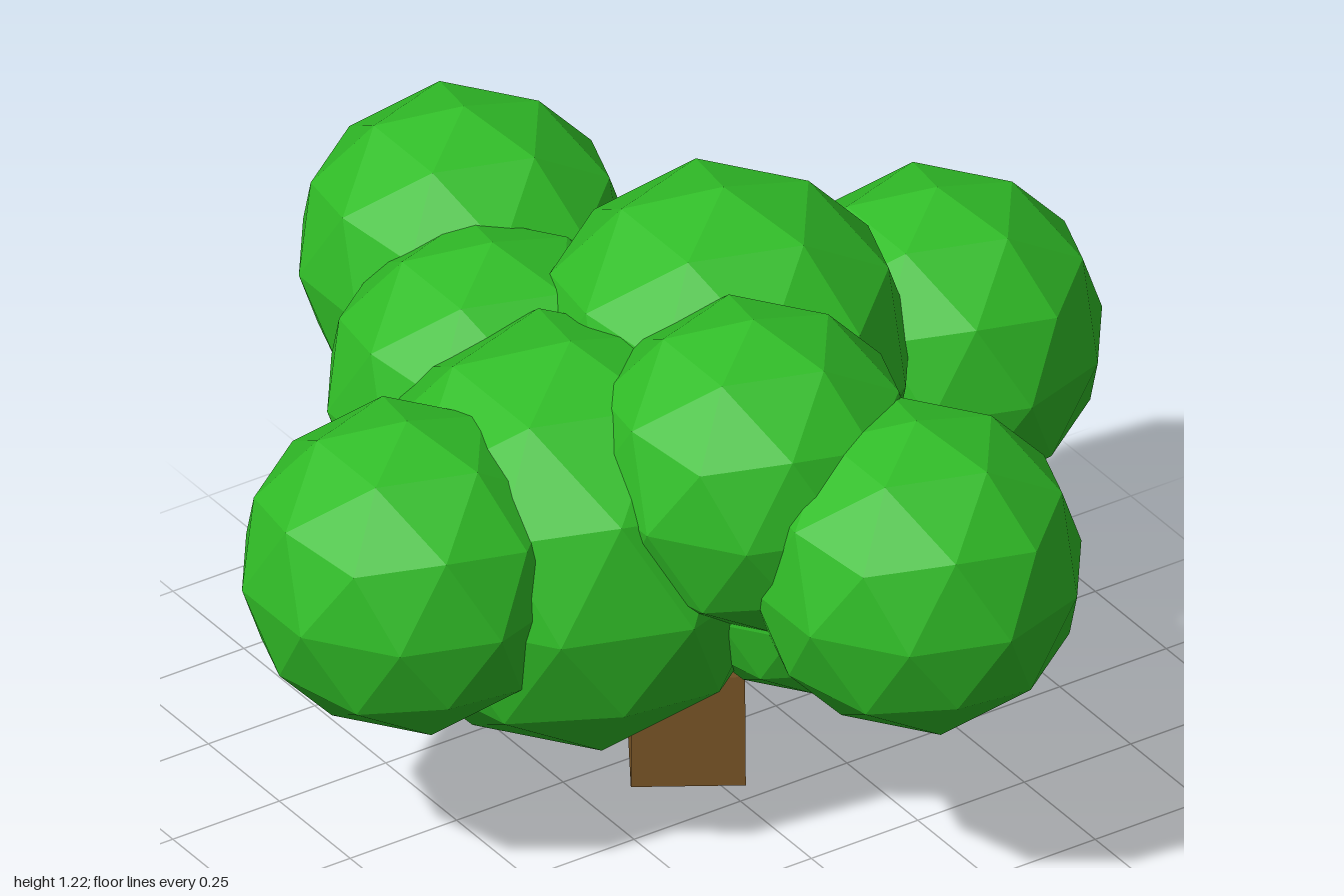
import * as THREE from 'three';

// Faceted ball: an icosahedron standing on its pole, split once
function makeBall() {
  const h = 1 / Math.sqrt(5), w = 2 * h;
  const verts = [0, 1, 0, 0, -1, 0];
  for (let i = 0; i < 5; i++) {
    const a = (i * 2 * Math.PI) / 5, b = a + Math.PI / 5;
    verts.push(w * Math.cos(a), h, -w * Math.sin(a));
    verts.push(w * Math.cos(b), -h, -w * Math.sin(b));
  }
  const faces = [];
  for (let i = 0; i < 5; i++) {
    const j = (i + 1) % 5;
    const u = 2 + 2 * i, l = u + 1, u2 = 2 + 2 * j, l2 = u2 + 1;
    faces.push(0, u, u2, u, l, u2, l, l2, u2, 1, l2, l);
  }
  return new THREE.PolyhedronGeometry(verts, faces, 1, 1);
}

export function createModel() {
  const tree = new THREE.Group();
  tree.name = 'tree';
  const leafGreen = new THREE.MeshStandardMaterial({ color: 0x30bc27, flatShading: true });
  leafGreen.name = 'leafGreen';
  const barkBrown = new THREE.MeshStandardMaterial({ color: 0x7a5627, flatShading: true });
  barkBrown.name = 'barkBrown';

  // Foliage clumps: name, x, y, z, radius
  const clumps = [
    ['leftClump', 0.645, 0.715, -0.025, 0.335],
    ['rightClump', -0.65, 0.67, 0.05, 0.335],
    ['backClump', -0.04, 0.805, -0.665, 0.335],
    ['frontClump', 0.14, 0.715, 0.66, 0.335],
    ['crownClump', 0.15, 0.84, -0.035, 0.38],
    ['lowerClump', -0.27, 0.622, 0.055, 0.437],
    ['upperFrontClump', -0.03, 0.84, 0.34, 0.335],
    ['innerBackClump', -0.19, 0.715, -0.34, 0.335],
    ['smallClump', 0.06, 0.56, 0.355, 0.235],
  ];
  const ball = makeBall();
  const foliage = new THREE.Group();
  foliage.name = 'foliage';
  for (const [name, x, y, z, r] of clumps) {
    const clump = new THREE.Mesh(ball, leafGreen);
    clump.name = name;
    clump.position.set(x, y, z);
    clump.scale.setScalar(r);
    foliage.add(clump);
  }
  tree.add(foliage);

  // Four-sided trunk: straight base with a green underside, then a taper
  const trunk = new THREE.Group();
  trunk.name = 'trunk';
  trunk.position.set(0.005, 0, 0.053);
  trunk.rotation.y = 0.226;
  const base = new THREE.Mesh(
    new THREE.CylinderGeometry(0.157, 0.159, 0.25, 4), [barkBrown, barkBrown, leafGreen]);
  base.name = 'trunkBase';
  base.position.y = 0.125;
  const taper = new THREE.Mesh(new THREE.CylinderGeometry(0.06, 0.157, 0.25, 4), barkBrown);
  taper.name = 'trunkTaper';
  taper.position.y = 0.375;
  trunk.add(base, taper);
  tree.add(trunk);

  return tree;
}
